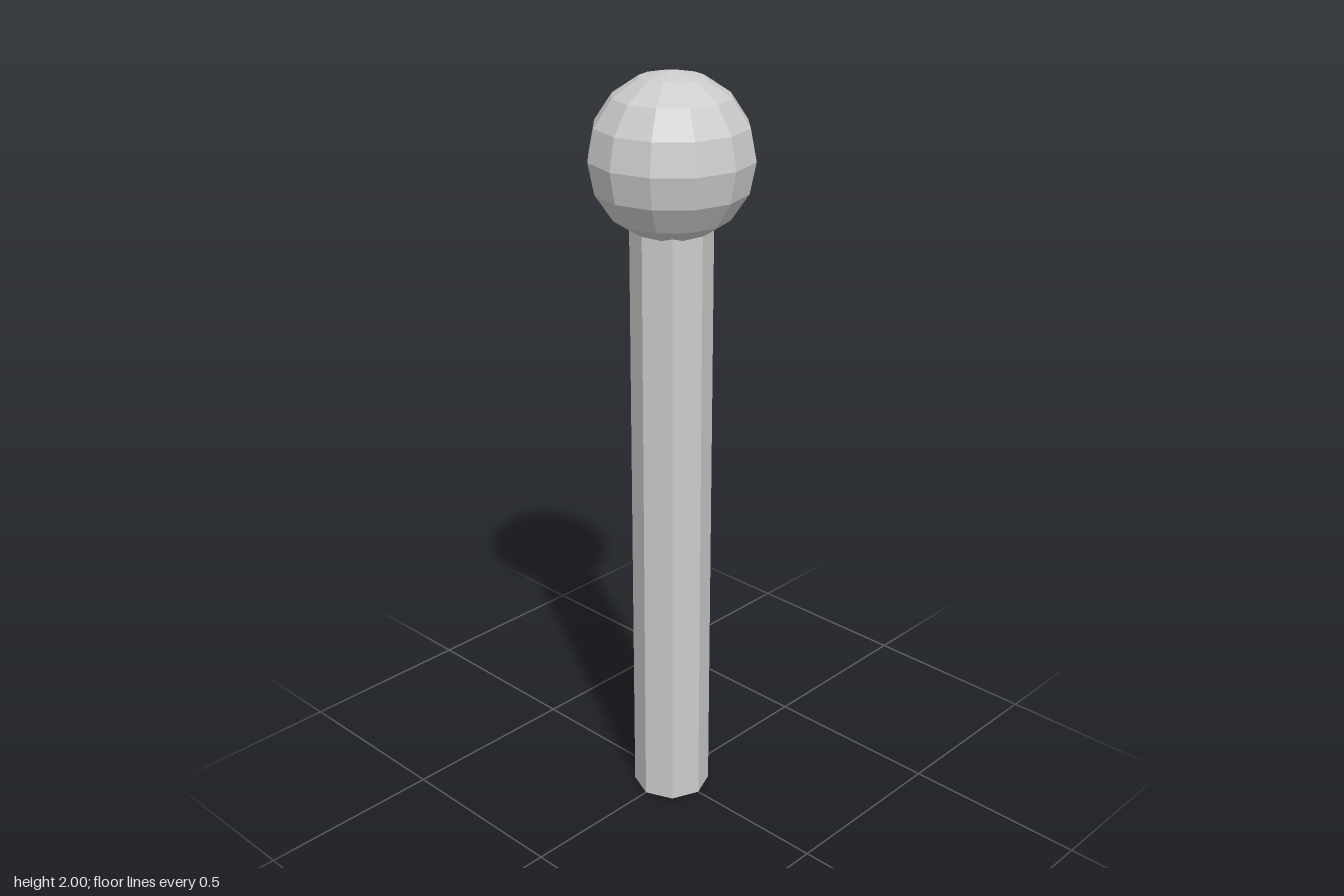
import * as THREE from 'three';

export function createModel() {
  const group = new THREE.Group();
  const material = new THREE.MeshStandardMaterial({ color: 0xcccccc, flatShading: true });

  const addPart = (name, geometry, y) => {
    const mesh = new THREE.Mesh(geometry, material);
    mesh.name = name;
    mesh.position.y = y;
    group.add(mesh);
  };

  // Octagonal shaft, its top sunk into the ball
  const radius = 0.104;
  const shaftHeight = 1.667;
  addPart('shaft', new THREE.CylinderGeometry(radius, radius, shaftHeight, 8), shaftHeight / 2);

  // Faceted ball, twice as wide as the shaft
  const ballRadius = 0.208;
  addPart('ball', new THREE.SphereGeometry(ballRadius, 12, 8), 2 - ballRadius);

  return group;
}
